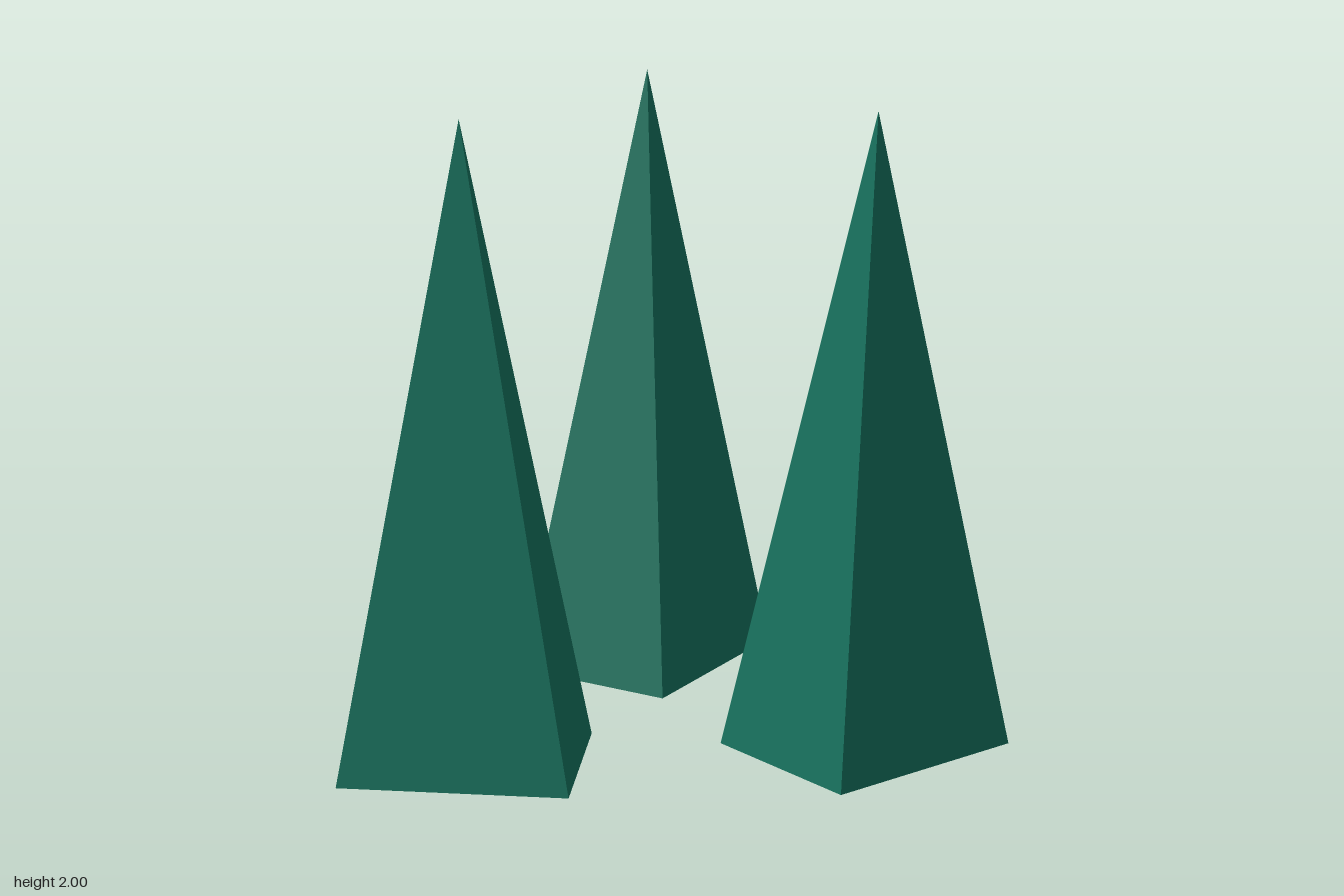
import * as THREE from 'three';

const WIDTH = 0.56, DEPTH = 0.71, HEIGHT = 2;

export function createModel() {
  const group = new THREE.Group();
  group.name = 'pyramidTrees';

  const material = new THREE.MeshStandardMaterial({ color: 0x136f5b, flatShading: true });

  // Four-sided spire with a unit square base, stretched to a rectangle, standing on y = 0
  const spire = new THREE.ConeGeometry(Math.SQRT1_2, 1, 4, 1, false, Math.PI / 4);
  spire.translate(0, 0.5, 0);
  spire.scale(WIDTH, HEIGHT, DEPTH);

  // Name, x, z, turn in degrees
  const trees = [
    ['leftTree', 0.6, -0.545, 0],
    ['rightTree', -0.497, -0.545, 20],
    ['frontTree', -0.053, 0.523, -45],
  ];
  for (const [name, x, z, turn] of trees) {
    const tree = new THREE.Mesh(spire, material);
    tree.name = name;
    tree.position.set(x, 0, z);
    tree.rotation.y = THREE.MathUtils.degToRad(turn);
    group.add(tree);
  }
  return group;
}
